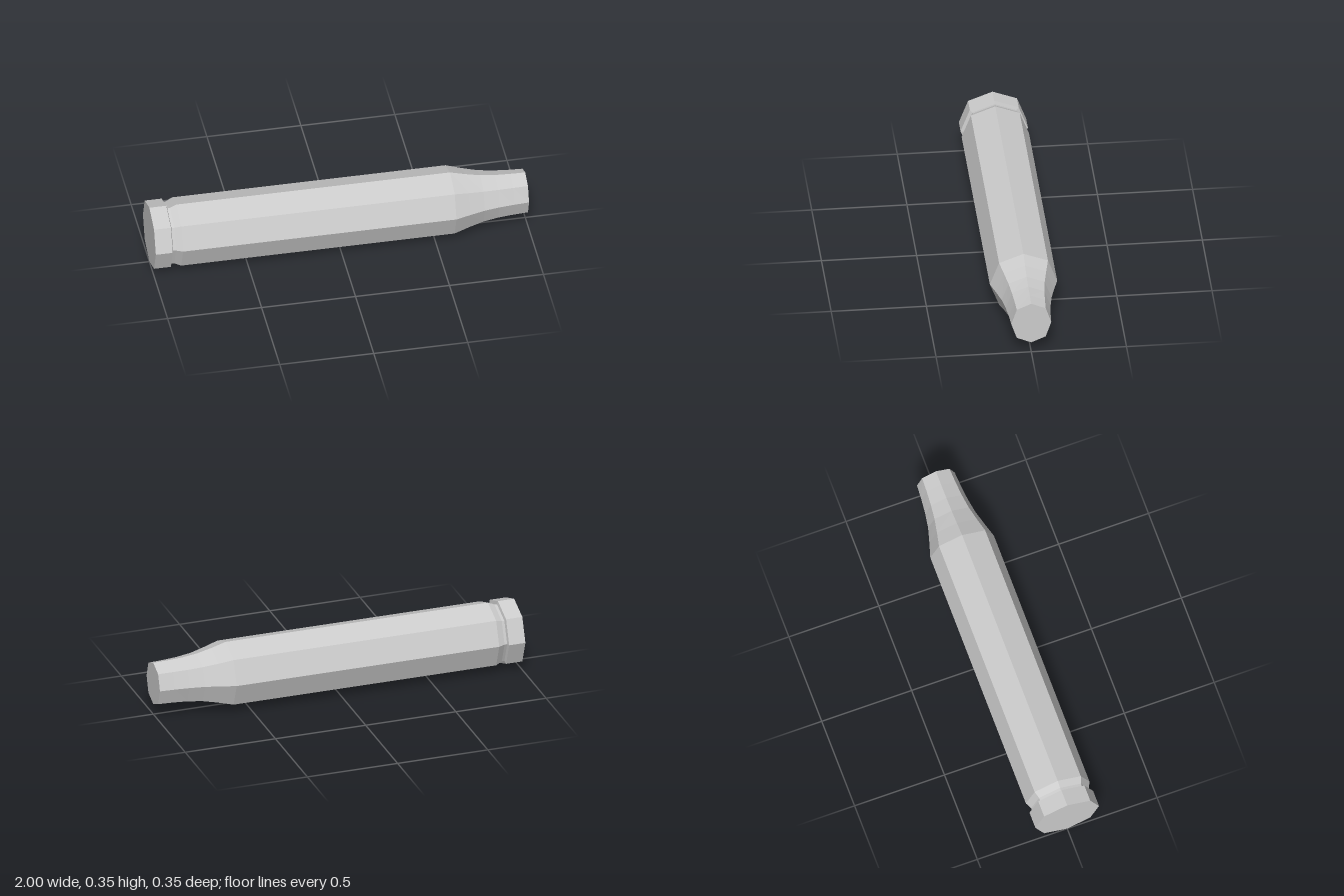
import * as THREE from 'three';

const SIDES = 8;
const AXIS_Y = 0.178;

// Cross-sections along x: [x, half height, half depth]
const sections = [
  [-1, 0.177, 0.177], [-0.91, 0.177, 0.177],   // end rim
  [-0.905, 0.159, 0.159], [-0.89, 0.161, 0.161], // groove
  [-0.855, 0.177, 0.177], [0.6, 0.177, 0.177], // body
  [0.68, 0.154, 0.153], [0.76, 0.135, 0.131],  // curved shoulder
  [0.84, 0.125, 0.118], [0.92, 0.121, 0.110],
  [1, 0.119, 0.105],                           // neck end
];

// Octagonal ring with slightly fuller diagonal corners
function ring([x, h, d]) {
  return Array.from({ length: SIDES }, (_, k) => {
    const a = (k / SIDES) * Math.PI * 2;
    const s = k % 2 ? 1.025 : 1;
    return [x, h * s * Math.cos(a), d * s * Math.sin(a)];
  });
}

// Skin the rings and close both ends
function loft(list) {
  const rings = list.map(ring);
  const last = rings.length - 1;
  const pos = [];
  const tri = (...pts) => pts.forEach((p) => pos.push(...p));
  for (let k = 0; k < SIDES; k++) {
    const n = (k + 1) % SIDES;
    for (let i = 0; i < last; i++) {
      const a = rings[i][k], b = rings[i][n], c = rings[i + 1][n], d = rings[i + 1][k];
      tri(a, b, c);
      tri(a, c, d);
    }
    tri([list[0][0], 0, 0], rings[0][n], rings[0][k]);
    tri([list[last][0], 0, 0], rings[last][k], rings[last][n]);
  }
  const geo = new THREE.BufferGeometry();
  geo.setAttribute('position', new THREE.Float32BufferAttribute(pos, 3));
  geo.computeVertexNormals();
  return geo;
}

export function createModel() {
  const group = new THREE.Group();
  group.name = 'casing';
  const material = new THREE.MeshStandardMaterial({ color: 0xcccccc, flatShading: true });
  const body = new THREE.Mesh(loft(sections), material);
  body.name = 'casingBody';
  body.position.y = AXIS_Y;
  group.add(body);
  return group;
}
